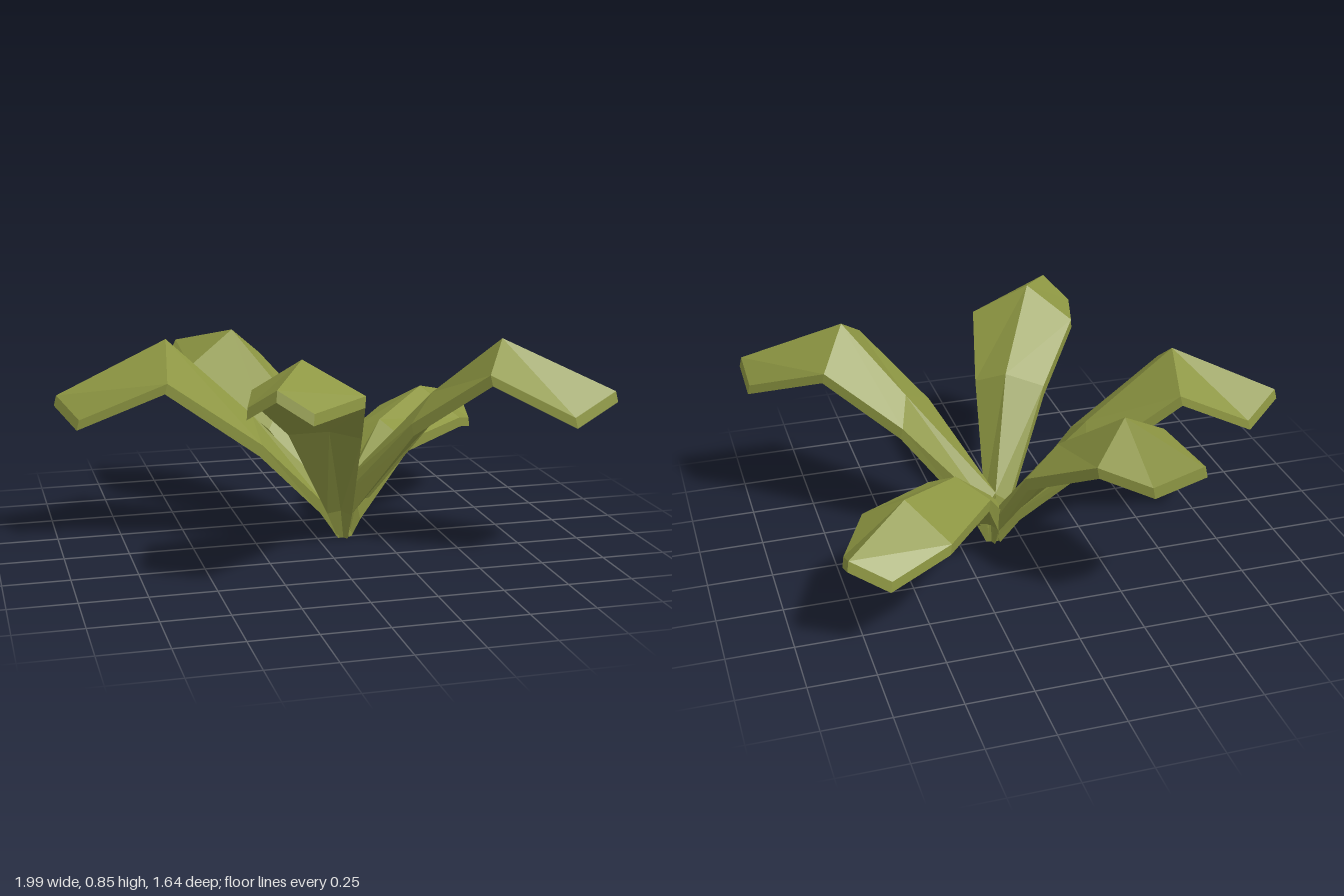
import * as THREE from 'three';

// Each leaf: neck just above the root (outward shift, height, underside shift, underside drop)
// and three cross-sections (mid, wide, tip) of left edge, ridge, right edge
const leaves = {
  sideLeaf: {
    neck: [0.08, 0.15, 0.02, 0.035],
    sections: [
      [[-0.24, 0.42, 0.08], [-0.25, 0.51, -0.06], [-0.21, 0.42, -0.2]],
      [[-0.6, 0.68, 0.085], [-0.57, 0.81, -0.125], [-0.54, 0.69, -0.3]],
      [[-0.92, 0.53, -0.04], [-0.99, 0.6, -0.18], [-0.84, 0.53, -0.275]],
    ],
  },
  frontRightLeaf: {
    neck: [0.06, 0.15, 0.02, 0.035],
    sections: [
      [[0.08, 0.54, 0.355], [-0.02, 0.6, 0.26], [-0.17, 0.54, 0.23]],
      [[0.01, 0.72, 0.635], [-0.2, 0.845, 0.555], [-0.355, 0.72, 0.44]],
      [[-0.22, 0.71, 0.81], [-0.34, 0.79, 0.775], [-0.42, 0.71, 0.67]],
    ],
  },
  backRightLeaf: {
    neck: [0.05, 0.13, 0.02, 0.04],
    sections: [
      [[-0.16, 0.42, -0.15], [-0.07, 0.54, -0.26], [0.07, 0.44, -0.31]],
      [[-0.425, 0.635, -0.43], [-0.23, 0.76, -0.53], [-0.09, 0.635, -0.64]],
      [[-0.485, 0.6, -0.685], [-0.42, 0.675, -0.81], [-0.25, 0.6, -0.775]],
    ],
  },
  backLeftLeaf: {
    neck: [0.01, 0.15, 0.03, 0.08],
    sections: [
      [[0.2, 0.355, -0.28], [0.31, 0.425, -0.19], [0.39, 0.355, -0.08]],
      [[0.43, 0.385, -0.59], [0.56, 0.5, -0.43], [0.69, 0.385, -0.29]],
      [[0.67, 0.335, -0.69], [0.81, 0.415, -0.64], [0.8, 0.335, -0.48]],
    ],
  },
  frontLeftLeaf: {
    neck: [0.01, 0.18, 0.03, 0.08],
    sections: [
      [[0.45, 0.52, 0.065], [0.41, 0.61, 0.17], [0.29, 0.52, 0.29]],
      [[0.715, 0.72, 0.22], [0.61, 0.85, 0.38], [0.51, 0.745, 0.53]],
      [[0.975, 0.6, 0.455], [0.985, 0.67, 0.575], [0.8, 0.595, 0.64]],
    ],
  },
};

// Folded leaf lofted through its cross-sections, with a shallower fold underneath
function leafGeometry({ neck, sections }) {
  const [tx, , tz] = sections[1][1];
  const dir = new THREE.Vector2(tx - 0.11, tz).normalize();
  const at = (out, side, y) => [0.11 + dir.x * out - dir.y * side, y, dir.y * out + dir.x * side];
  const [out, height, neckShift, neckDrop] = neck;
  const root = [at(0.015, -0.02, 0.03), at(0.005, 0, 0.05), at(0.015, 0.02, 0.03)];
  const collar = [at(out, -0.05, height), at(out - 0.02, 0, height + 0.04), at(out, 0.05, height)];
  const outward = [0.01, neckShift, 0.01, 0.01, 0.01];
  const drop = [0.03, neckDrop, 0.045, 0.04, 0.04];
  const ridgeDrop = [0.02, 0.03, 0.05, 0.03, 0];

  const positions = [];
  const rings = [root, collar, ...sections];
  rings.forEach((top, i) => {
    const under = top.map(([x, y, z], k) => [
      x + dir.x * outward[i],
      y - drop[i] - (k === 1 ? ridgeDrop[i] : 0),
      z + dir.y * outward[i],
    ]);
    positions.push(...top.flat(), ...under.reverse().flat());
  });

  const index = [];
  const quad = (a, b, c, d) => index.push(a, b, c, a, c, d);
  const last = rings.length - 1;
  for (let i = 0; i < last; i++) {
    for (let k = 0; k < 6; k++) {
      const n = (k + 1) % 6;
      quad(i * 6 + k, i * 6 + n, i * 6 + 6 + n, i * 6 + 6 + k);
    }
  }
  // Root and tip ends
  const tip = last * 6;
  quad(0, 5, 4, 1);
  quad(1, 4, 3, 2);
  quad(tip, tip + 1, tip + 4, tip + 5);
  quad(tip + 1, tip + 2, tip + 3, tip + 4);

  const indexed = new THREE.BufferGeometry();
  indexed.setAttribute('position', new THREE.Float32BufferAttribute(positions, 3));
  indexed.setIndex(index);
  const geometry = indexed.toNonIndexed();
  geometry.computeVertexNormals();
  return geometry;
}

export function createModel() {
  const group = new THREE.Group();
  group.name = 'plant';
  const leafGreen = new THREE.MeshStandardMaterial({ color: 0x8d9642, flatShading: true });
  leafGreen.name = 'leafGreen';

  for (const [name, shape] of Object.entries(leaves)) {
    const leaf = new THREE.Mesh(leafGeometry(shape), leafGreen);
    leaf.name = name;
    group.add(leaf);
  }
  return group;
}
